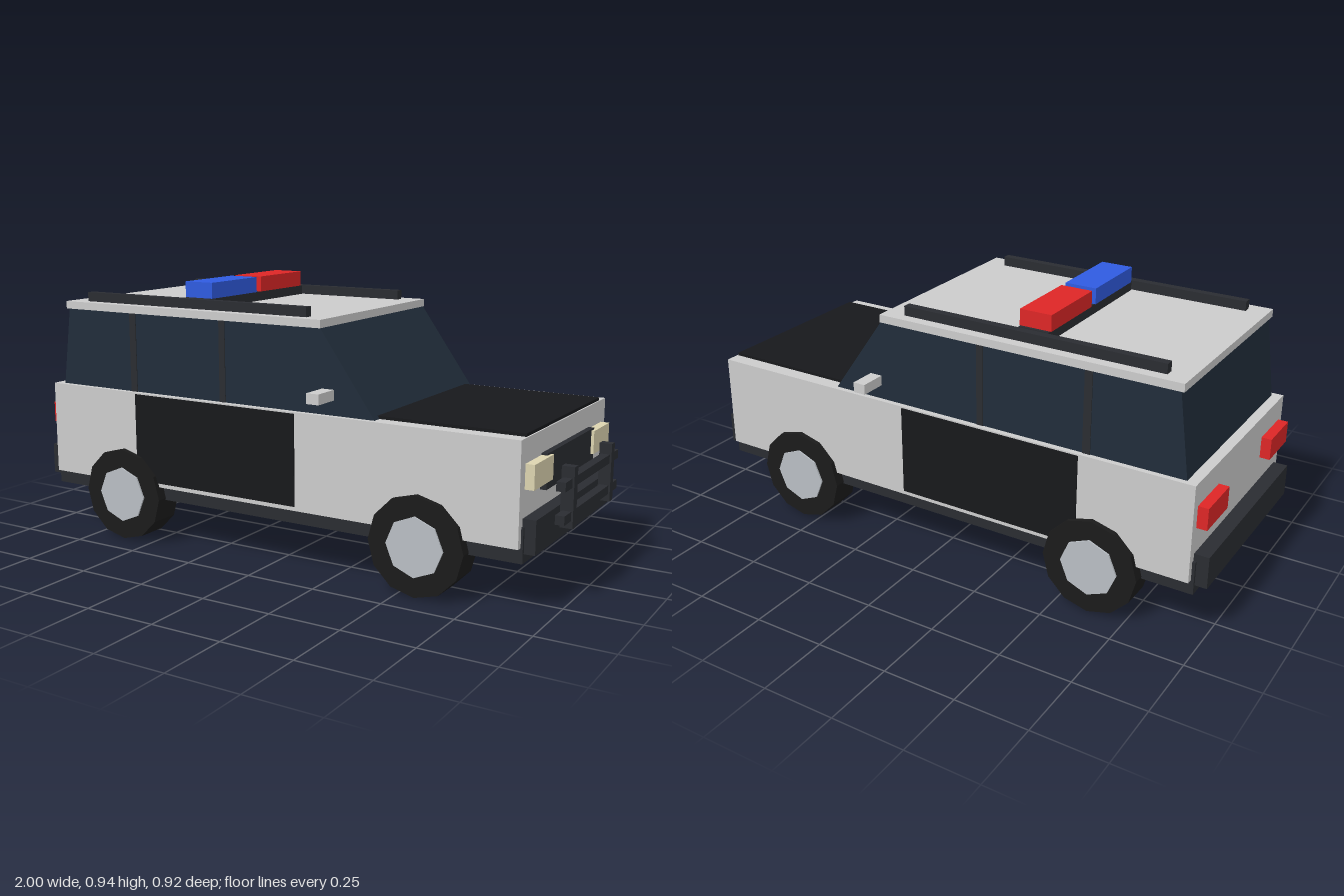
import * as THREE from 'three';

const mat = (color) => new THREE.MeshStandardMaterial({ color, flatShading: true });

export function createModel() {
  const car = new THREE.Group();
  car.name = 'patrolCar';
  const white = mat(0xd8d9db), black = mat(0x17181b), trim = mat(0x2a2c31), glass = mat(0x212d3a);
  const red = mat(0xdd2626), blue = mat(0x2f5be0), lamp = mat(0xdcd4b0), tyre = mat(0x1b1b1b), rim = mat(0xb9bec4);

  const add = (name, geometry, material) => {
    const mesh = new THREE.Mesh(geometry, material);
    mesh.name = name;
    car.add(mesh);
    return mesh;
  };
  // box given by its extents along each axis
  const box = (name, material, x0, x1, y0, y1, z0, z1) =>
    add(name, new THREE.BoxGeometry(x1 - x0, y1 - y0, z1 - z0), material)
      .position.set((x0 + x1) / 2, (y0 + y1) / 2, (z0 + z1) / 2);
  // the same box on both sides of the car
  const pair = (name, material, x0, x1, y0, y1, z0, z1) => {
    box(name + 'Near', material, x0, x1, y0, y1, z0, z1);
    box(name + 'Far', material, x0, x1, y0, y1, -z1, -z0);
  };

  // lower body
  box('body', white, -0.95, 0.9, 0.21, 0.545, -0.385, 0.385);
  box('chassis', trim, -0.96, 0.907, 0.16, 0.275, -0.364, 0.364);
  box('hood', black, 0.38, 0.895, 0.54, 0.555, -0.333, 0.333);
  pair('doorPanel', black, -0.56, 0.11, 0.225, 0.54, 0.38, 0.389);

  // glass cabin with raked windscreen
  const side = new THREE.Shape([[-0.915, 0.54], [0.403, 0.54], [0.197, 0.827], [-0.876, 0.827]]
    .map(([x, y]) => new THREE.Vector2(x, y)));
  const cabin = new THREE.ExtrudeGeometry(side, { depth: 0.732, bevelEnabled: false });
  add('cabinGlass', cabin.translate(0, 0, -0.366), glass);
  pair('rearPillar', trim, -0.592, -0.565, 0.545, 0.826, 0.36, 0.369);
  pair('centrePillar', trim, -0.202, -0.178, 0.545, 0.826, 0.36, 0.369);
  box('roof', white, -0.887, 0.2, 0.825, 0.852, -0.37, 0.37);

  // roof rails and emergency lights
  pair('roofRail', trim, -0.815, 0.125, 0.85, 0.885, 0.303, 0.332);
  box('lightBarBase', trim, -0.398, -0.29, 0.85, 0.885, -0.296, 0.296);
  box('blueLight', blue, -0.402, -0.288, 0.885, 0.94, 0.014, 0.285);
  box('redLight', red, -0.402, -0.288, 0.885, 0.94, -0.285, -0.014);

  // mirrors and lamps
  pair('mirror', white, 0.205, 0.25, 0.595, 0.63, 0.36, 0.461);
  pair('headlight', lamp, 0.89, 0.93, 0.388, 0.467, 0.19, 0.348);
  pair('tailLight', red, -0.985, -0.94, 0.39, 0.465, 0.19, 0.355);

  // grille, bumpers and push bar
  box('grille', trim, 0.89, 0.92, 0.358, 0.473, -0.218, 0.218);
  box('frontBumper', trim, 0.89, 0.943, 0.19, 0.3, -0.355, 0.355);
  box('rearBumper', trim, -1, -0.94, 0.19, 0.3, -0.355, 0.355);
  pair('pushBarUpright', trim, 0.958, 1, 0.24, 0.436, 0.165, 0.195);
  for (const y of [0.265, 0.37]) box('pushBarRail', trim, 0.964, 0.994, y, y + 0.03, -0.255, 0.255);

  // wheels
  for (const x of [-0.62, 0.565]) for (const s of [-1, 1]) {
    const parts = [['tyre', 0.167, 0.11, 12, tyre], ['hub', 0.1, 0.122, 8, rim]];
    for (const [name, r, width, sides, material] of parts) {
      const geometry = new THREE.CylinderGeometry(r, r, width, sides).rotateX(Math.PI / 2);
      add(name, geometry, material).position.set(x, 0.167, s * 0.348);
    }
  }
  return car;
}
